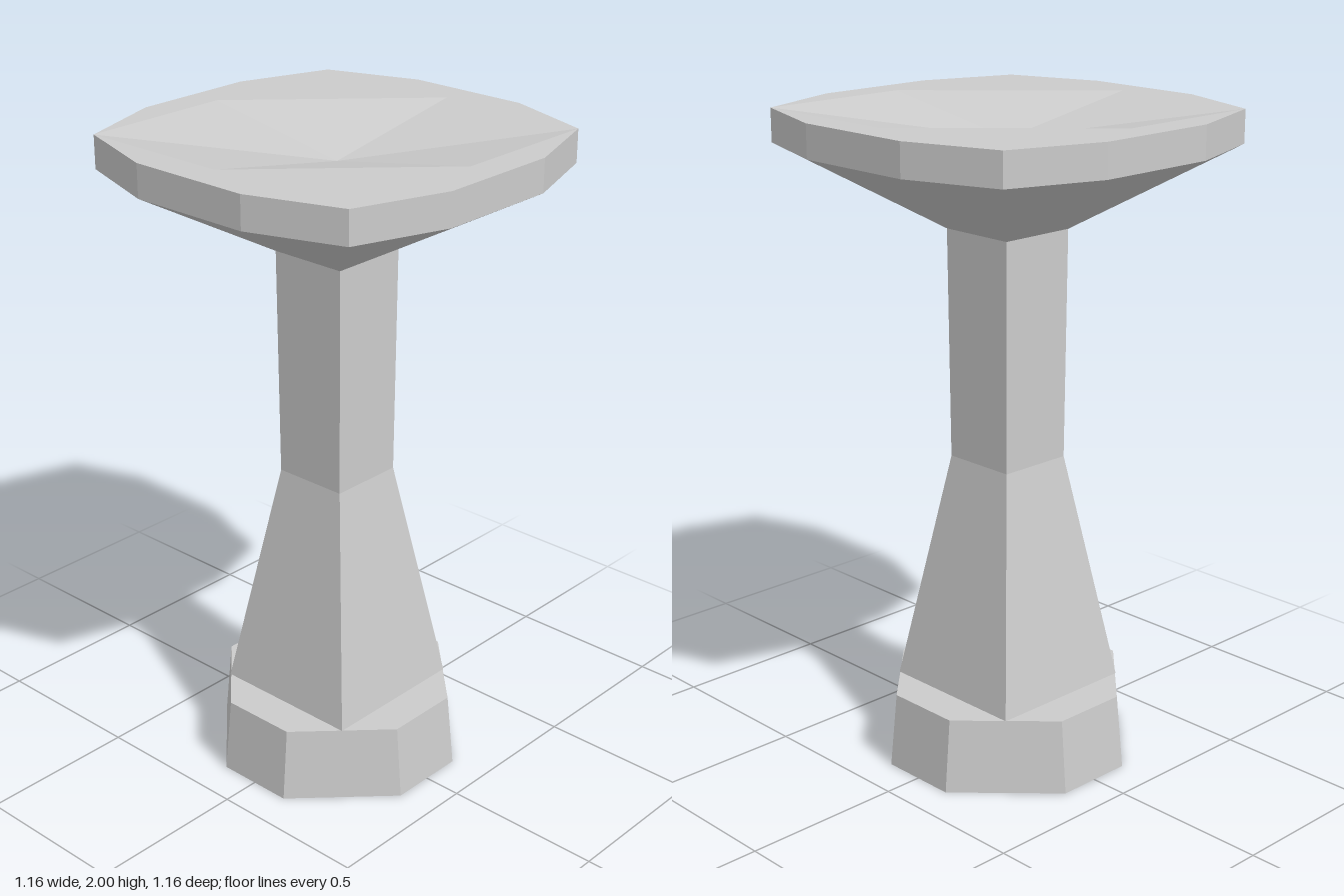
import * as THREE from 'three';

const material = new THREE.MeshStandardMaterial({ color: 0xcccccc, flatShading: true, side: THREE.DoubleSide });

function part(name, geometry) {
  const mesh = new THREE.Mesh(geometry, material);
  mesh.name = name;
  return mesh;
}

// Repeat one quadrant's [x, z] points around the vertical axis
function ring(quadrant) {
  const points = [];
  for (let k = 0; k < 4; k++) {
    for (const [x, z] of quadrant) points.push([[x, z], [-z, x], [-x, -z], [z, -x]][k]);
  }
  return points;
}

// Skin between rings listed bottom to top as { y, points }
function loft(rings, closed = true) {
  const pos = [];
  const n = rings[0].points.length;
  const at = (r, i) => new THREE.Vector3(r.points[i % n][0], r.y, r.points[i % n][1]);
  const tri = (a, b, c) => {
    if (a.equals(b) || b.equals(c) || c.equals(a)) return;
    for (const v of [a, b, c]) pos.push(v.x, v.y, v.z);
  };
  for (let r = 0; r < rings.length - 1; r++) {
    for (let i = 0; i < (closed ? n : n - 1); i++) {
      const a = at(rings[r], i), b = at(rings[r], i + 1);
      const c = at(rings[r + 1], i), d = at(rings[r + 1], i + 1);
      tri(a, c, d);
      tri(a, d, b);
    }
  }
  const geometry = new THREE.BufferGeometry();
  geometry.setAttribute('position', new THREE.Float32BufferAttribute(pos, 3));
  geometry.computeVertexNormals();
  return geometry;
}

// Flat horizontal face at height y
function cap(points, y, up) {
  const shape = new THREE.Shape(points.map(([x, z]) => new THREE.Vector2(x, up ? -z : z)));
  return new THREE.ShapeGeometry(shape).rotateX(up ? -Math.PI / 2 : Math.PI / 2).translate(0, y, 0);
}

const BASE_TOP = 0.23, NECK_TOP = 1.65, RIM_LOW = 1.9, TOP = 2;

function createBase() {
  const base = new THREE.Group();
  base.name = 'base';
  const cross = (r, w) => ring([[r, w], [w, w], [w, r]]);
  const low = [[0.38, 0.125], [0.125, 0.38]];
  const high = [[0.357, 0.12], [0.12, 0.357]];

  // Cross-shaped foot
  base.add(part('crossFoot', loft([
    { y: 0, points: cross(0.38, 0.125) },
    { y: BASE_TOP, points: cross(0.357, 0.12) },
  ])));
  base.add(part('footSole', cap(cross(0.38, 0.125), 0, false)));

  // Diagonal panels closing the cross into an octagon
  for (let k = 0; k < 4; k++) {
    const panel = part('cornerPanel', loft([{ y: 0, points: low }, { y: BASE_TOP, points: high }], false));
    panel.rotation.y = k * Math.PI / 2;
    base.add(panel);
  }
  base.add(part('baseTop', cap(ring(high), BASE_TOP, true)));
  return base;
}

function createBowl() {
  const bowl = new THREE.Group();
  bowl.name = 'bowl';
  const rim = ring([[0.578, 0.195], [0.48, 0.48], [0.195, 0.578]]);
  const neck = ring([[0.125, 0.125], [0.125, 0.125], [0.125, 0.125]]);

  // Flaring underside and upright rim
  bowl.add(part('bowlShell', loft([
    { y: NECK_TOP, points: neck },
    { y: RIM_LOW, points: rim },
    { y: TOP, points: rim },
  ])));

  // Flat border strips around the dish
  for (let k = 0; k < 4; k++) {
    const strip = part('rimBorder',
      cap([[0.48, -0.48], [0.578, -0.195], [0.578, 0.195], [0.48, 0.48]], TOP, true));
    strip.rotation.y = k * Math.PI / 2;
    bowl.add(strip);
  }

  // Shallow dish with a sunken centre
  const dish = new THREE.PlaneGeometry(0.96, 0.96, 2, 2).rotateX(-Math.PI / 2).translate(0, TOP, 0);
  dish.attributes.position.setY(4, 1.915);
  dish.computeVertexNormals();
  bowl.add(part('dish', dish));
  return bowl;
}

export function createModel() {
  const model = new THREE.Group();
  model.name = 'pedestalBowl';
  const square = (r) => ring([[r, r]]);

  // Square stem, flared towards the base
  model.add(createBase());
  model.add(part('stem', loft([
    { y: BASE_TOP, points: square(0.24) },
    { y: 0.95, points: square(0.12) },
    { y: NECK_TOP, points: square(0.125) },
  ])));
  model.add(createBowl());
  return model;
}
